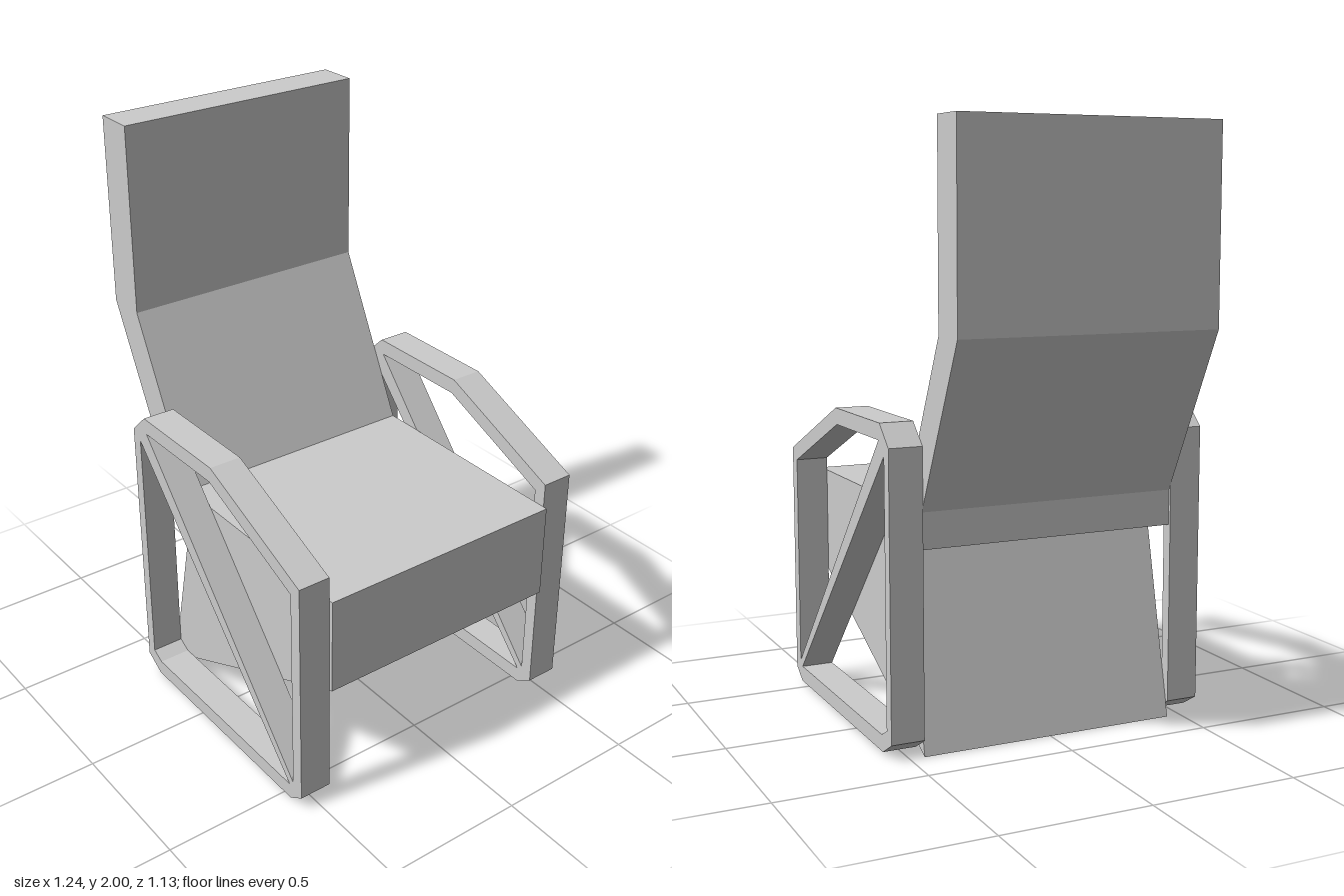
import * as THREE from 'three';

const material = new THREE.MeshStandardMaterial({ color: 0xcccccc, flatShading: true });
const toPoints = (pairs) => pairs.map(([x, y]) => new THREE.Vector2(x, y));

// Side profile extruded along z, centred on z = 0
function slab(name, outline, holes, depth) {
  const shape = new THREE.Shape(toPoints(outline));
  for (const hole of holes) shape.holes.push(new THREE.Path(toPoints(hole)));
  const geometry = new THREE.ExtrudeGeometry(shape, { depth, bevelEnabled: false });
  geometry.translate(0, 0, -depth / 2);
  const mesh = new THREE.Mesh(geometry, material);
  mesh.name = name;
  return mesh;
}

export function createModel() {
  const chair = new THREE.Group();
  chair.name = 'armchair';

  // Bent backrest, seat and wedge-shaped base in one folded profile
  const seatWidth = 0.9;
  chair.add(slab('seatAndBackrest', [
    [-0.62, 2], [-0.62, 1.35], [-0.34, 0.79], [-0.34, 0.67], [-0.2, 0.67],
    [-0.35, 0], [0.62, 0.445], [0.62, 0.785], [-0.2, 0.785], [-0.48, 1.35], [-0.48, 2],
  ], [], seatWidth));

  // Open side frames: the two holes leave a diagonal brace between them
  const frameOutline = [
    [-0.35, 1], [-0.35, 0.055], [-0.275, 0.01], [0.545, 0.01],
    [0.605, 0.05], [0.605, 0.87], [0.13, 1.07], [-0.275, 1.07],
  ];
  const upperHole = [[-0.265, 1.015], [0.12, 1.015], [0.56, 0.83], [0.56, 0.085]];
  const lowerHole = [[-0.31, 0.97], [0.54, 0.065], [-0.265, 0.065], [-0.31, 0.09]];
  const frameDepth = 0.113;
  for (const side of [1, -1]) {
    const frame = slab(side > 0 ? 'frontArmFrame' : 'rearArmFrame', frameOutline, [upperHole, lowerHole], frameDepth);
    frame.position.z = side * (seatWidth + frameDepth) / 2;
    chair.add(frame);
  }
  return chair;
}
